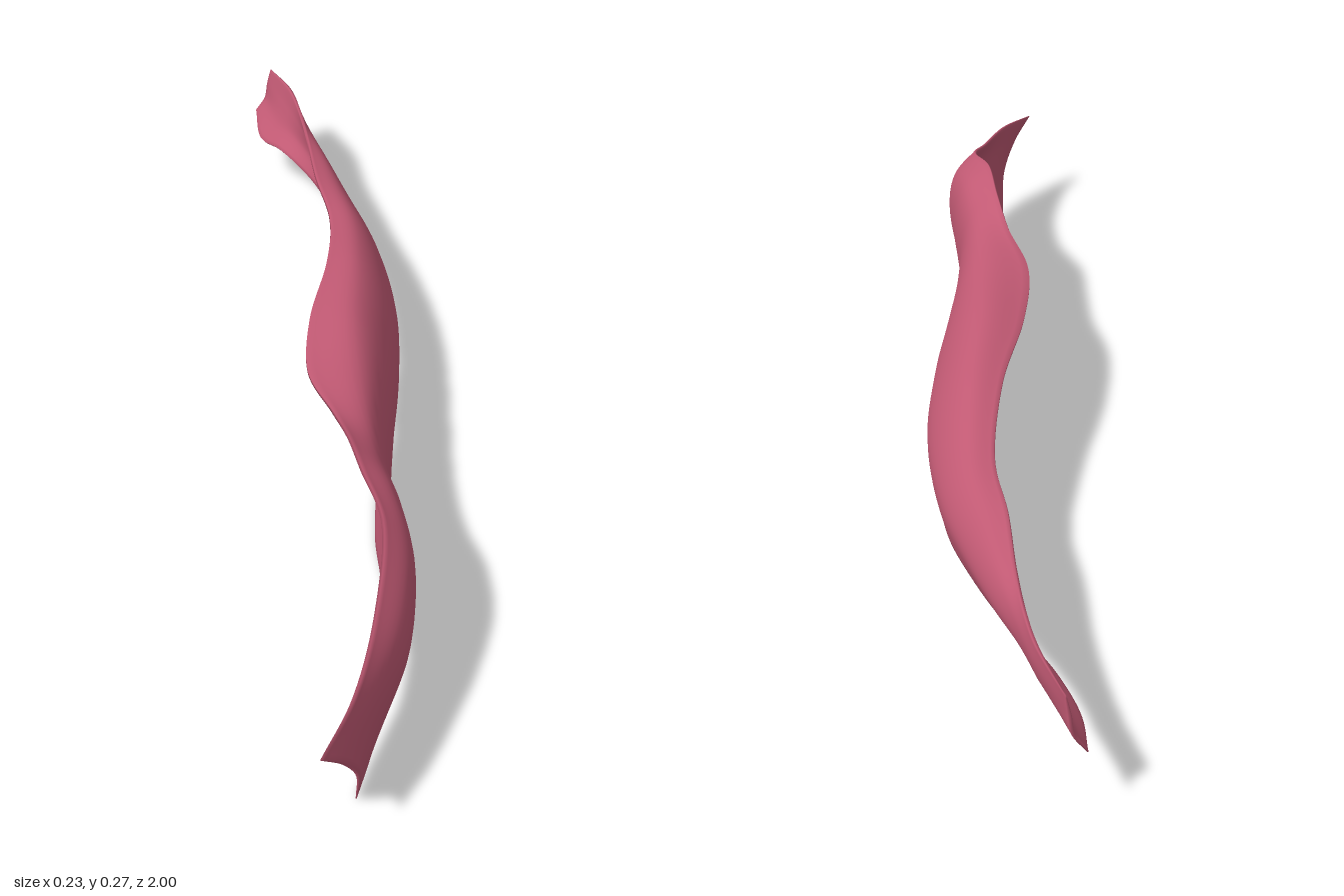
import * as THREE from 'three';

// Cross-sections from front to back: z, then x,y of top edge, shoulder, belly, bottom edge
const SECTIONS = [
  [1.0, -0.04, 0.162, -0.01, 0.125, 0.01, 0.075, 0.01, 0.002],
  [0.9, 0.005, 0.18, 0.025, 0.14, 0.035, 0.085, 0.03, 0.01],
  [0.75, 0.04, 0.205, 0.07, 0.165, 0.08, 0.11, 0.058, 0.035],
  [0.6, 0.055, 0.248, 0.088, 0.2, 0.092, 0.12, 0.065, 0.05],
  [0.5, 0.03, 0.266, 0.072, 0.225, 0.084, 0.13, 0.065, 0.038],
  [0.4, 0.015, 0.255, 0.057, 0.215, 0.073, 0.12, 0.065, 0.012],
  [0.3, -0.005, 0.235, 0.048, 0.212, 0.076, 0.11, 0.062, 0.004],
  [0.17, -0.038, 0.222, 0.042, 0.214, 0.086, 0.12, 0.07, 0.006],
  [0.0, -0.032, 0.215, 0.04, 0.218, 0.102, 0.12, 0.09, 0.024],
  [-0.2, 0.0, 0.205, 0.05, 0.202, 0.107, 0.12, 0.098, 0.034],
  [-0.4, 0.01, 0.182, 0.048, 0.173, 0.084, 0.12, 0.078, 0.055],
  [-0.55, -0.01, 0.18, 0.024, 0.163, 0.047, 0.12, 0.04, 0.073],
  [-0.7, -0.022, 0.178, -0.005, 0.16, 0.004, 0.125, -0.01, 0.092],
  [-0.82, -0.035, 0.183, -0.033, 0.155, -0.04, 0.125, -0.07, 0.098],
  [-0.9, -0.05, 0.185, -0.055, 0.15, -0.07, 0.115, -0.105, 0.083],
  [-1.0, -0.085, 0.178, -0.09, 0.15, -0.095, 0.12, -0.114, 0.093],
];
const ROWS = 150;
const COLS = 20;

// Curved strap with thin edges and a fuller middle, lofted through the sections
function strapGeometry() {
  const rails = [0, 1, 2, 3].map((k) => new THREE.CatmullRomCurve3(
    SECTIONS.map((s) => new THREE.Vector3(s[1 + 2 * k], s[2 + 2 * k], s[0]))));
  const positions = [];
  const index = [];
  const ring = 2 * (COLS + 1);

  for (let i = 0; i <= ROWS; i++) {
    const u = i / ROWS;
    const section = new THREE.CatmullRomCurve3(rails.map((r) => r.getPoint(u)));
    const endTaper = Math.min(1, 0.35 + 8 * Math.min(u, 1 - u));
    for (let j = 0; j < ring; j++) {
      const outer = j <= COLS;
      const v = (outer ? j : ring - 1 - j) / COLS;
      const p = section.getPoint(v);
      const t = section.getTangent(v);
      const half = (0.002 + 0.006 * Math.sin(Math.PI * v)) * endTaper * (outer ? 1 : -1);
      // The front end is cut on a slant, longest at the top
      const slant = 0.11 * v * Math.max(0, (p.z - 0.6) / 0.4);
      positions.push(p.x - t.y * half, p.y + t.x * half, p.z - slant);
    }
  }
  for (let i = 0; i < ROWS; i++) {
    for (let j = 0; j < ring; j++) {
      const a = i * ring + j;
      const b = i * ring + (j + 1) % ring;
      index.push(a, b, a + ring, b, b + ring, a + ring);
    }
  }
  // End caps
  const last = ROWS * ring;
  for (let j = 0; j < COLS; j++) {
    const m = ring - 1 - j;
    index.push(j, m, j + 1, j + 1, m, m - 1);
    index.push(last + j, last + j + 1, last + m, last + j + 1, last + m - 1, last + m);
  }

  const geometry = new THREE.BufferGeometry();
  geometry.setAttribute('position', new THREE.Float32BufferAttribute(positions, 3));
  geometry.setIndex(index);
  geometry.computeVertexNormals();
  return geometry;
}

export function createModel() {
  const group = new THREE.Group();
  group.name = 'muscle';
  const muscleRed = new THREE.MeshStandardMaterial({ color: 0xc25a74 });
  muscleRed.name = 'muscle red';
  const strap = new THREE.Mesh(strapGeometry(), muscleRed);
  strap.name = 'muscleStrap';
  group.add(strap);
  return group;
}
